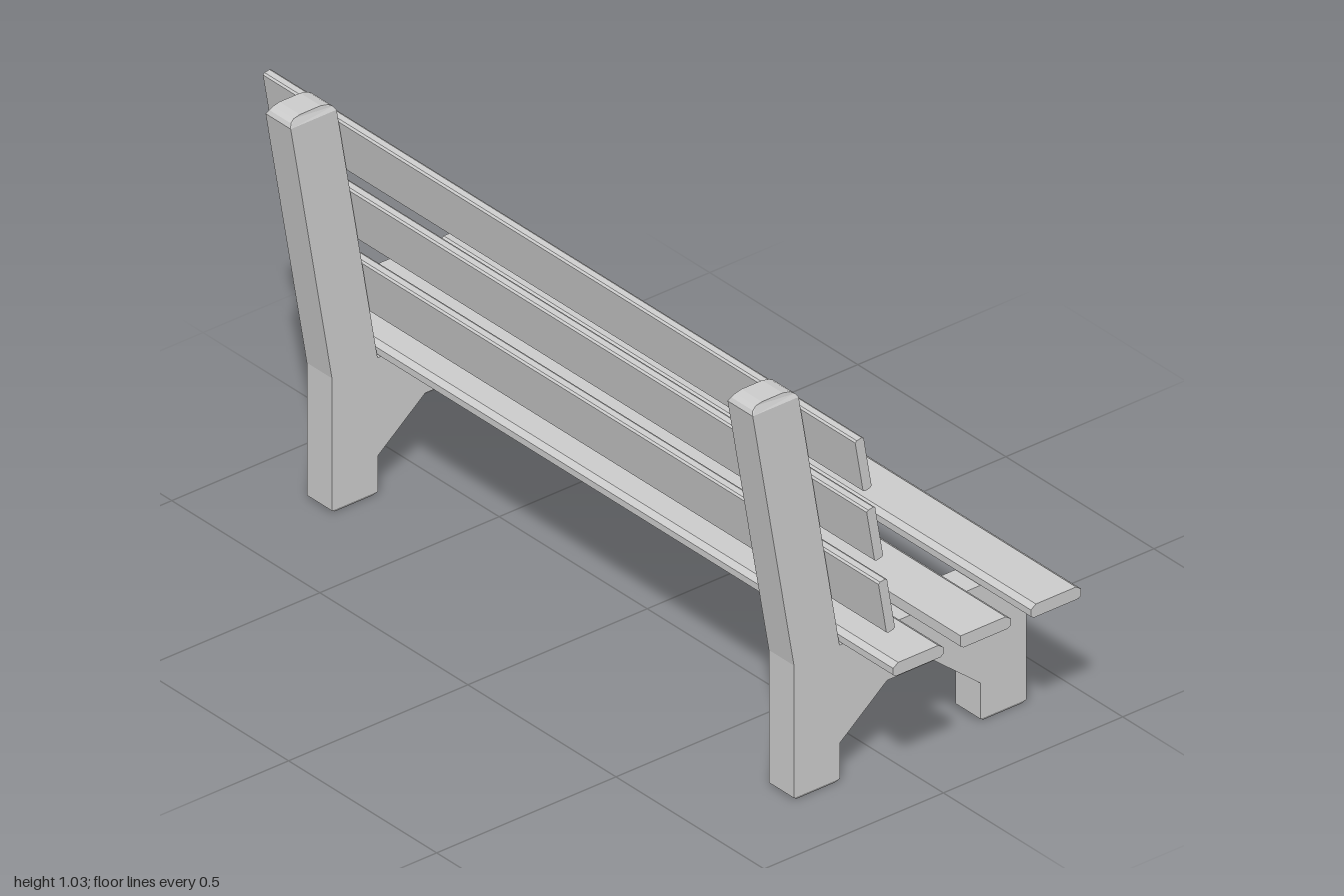
import * as THREE from 'three';

const material = new THREE.MeshStandardMaterial({ color: 0xcccccc, flatShading: true });

// Extrude an outline in the x-y plane to a given width, centred on z = 0
function extrude(points, width) {
  const shape = new THREE.Shape(points.map(([x, y]) => new THREE.Vector2(x, y)));
  const geometry = new THREE.ExtrudeGeometry(shape, { depth: width, bevelEnabled: false });
  return geometry.translate(0, 0, -width / 2);
}

function addMesh(parent, name, geometry) {
  const mesh = new THREE.Mesh(geometry, material);
  mesh.name = name;
  parent.add(mesh);
  return mesh;
}

// End piece of a post: full width at height seamY, narrower beyond it
function taperedEnd(points, width, seamY, inset) {
  const geometry = extrude(points, width);
  const p = geometry.attributes.position;
  for (let i = 0; i < p.count; i++) {
    const away = Math.abs(p.getY(i) - seamY);
    if (away > 1e-4) p.setZ(i, p.getZ(i) - Math.sign(p.getZ(i)) * Math.min(inset, away * 0.6));
  }
  geometry.computeVertexNormals();
  return geometry;
}

// Plank outline with separate chamfers at each corner
function plankOutline(w, h, { top = 0.014, topLeft = top, bottom = 0.008 }) {
  const x = w / 2, y = h / 2, cut = 0.7;
  const pts = [[-x + bottom, -y], [x - bottom, -y], [x, -y + bottom * cut],
    [x, y - top * cut], [x - top, y]];
  if (topLeft > 0) pts.push([-x + topLeft, y], [-x, y - topLeft * cut]);
  else pts.push([-x, y]);
  pts.push([-x, -y + bottom * cut]);
  return pts;
}

function createSupport() {
  const support = new THREE.Group();
  const width = 0.085, footY = 0.008, capY = 1.008;

  // Legs, arched rail and leaning back post in one outline
  addMesh(support, 'sideFrame', extrude([
    [-0.27, footY], [-0.141, footY], [-0.141, 0.098], [-0.01, 0.204], [0.12, 0.204],
    [0.25, 0.098], [0.25, footY], [0.379, footY], [0.379, 0.343], [-0.143, 0.343],
    [-0.257, capY], [-0.385, capY], [-0.27, 0.34],
  ], width));

  // Rounded top of the back post
  addMesh(support, 'postCap', taperedEnd([
    [-0.385, capY], [-0.257, capY], [-0.263, 1.017], [-0.274, 1.024], [-0.295, 1.029],
    [-0.353, 1.029], [-0.37, 1.025], [-0.38, 1.018],
  ], width, capY, 0.008));

  // Chamfered feet
  for (const [name, x0, x1] of [['rearFoot', -0.27, -0.141], ['frontFoot', 0.25, 0.379]]) {
    addMesh(support, name, taperedEnd(
      [[x0, footY], [x0 + 0.012, 0], [x1 - 0.012, 0], [x1, footY]], width, footY, 0.005));
  }
  return support;
}

export function createModel() {
  const bench = new THREE.Group();
  bench.name = 'bench';

  // Pair of end supports
  for (const side of [-1, 1]) {
    const support = createSupport();
    support.name = side > 0 ? 'nearSupport' : 'farSupport';
    support.position.z = side * 0.78;
    bench.add(support);
  }

  // Seat planks; the middle one keeps a square rear edge
  [-0.07, 0.118, 0.314].forEach((x, i) => {
    const options = i === 1 ? { topLeft: 0 } : {};
    const plank = addMesh(bench, 'seatSlat' + (i + 1), extrude(plankOutline(0.14, 0.032, options), 2));
    plank.position.set(x, 0.359, 0);
  });

  // Back planks, leaning with the posts
  [[-0.158, 0.529], [-0.191, 0.722], [-0.223, 0.908]].forEach(([x, y], i) => {
    const outline = plankOutline(0.024, 0.137, { top: 0.005, bottom: 0.005 });
    const plank = addMesh(bench, 'backSlat' + (i + 1), extrude(outline, 2));
    plank.position.set(x, y, 0);
    plank.rotation.z = Math.atan2(0.114, 0.665);
  });

  return bench;
}
